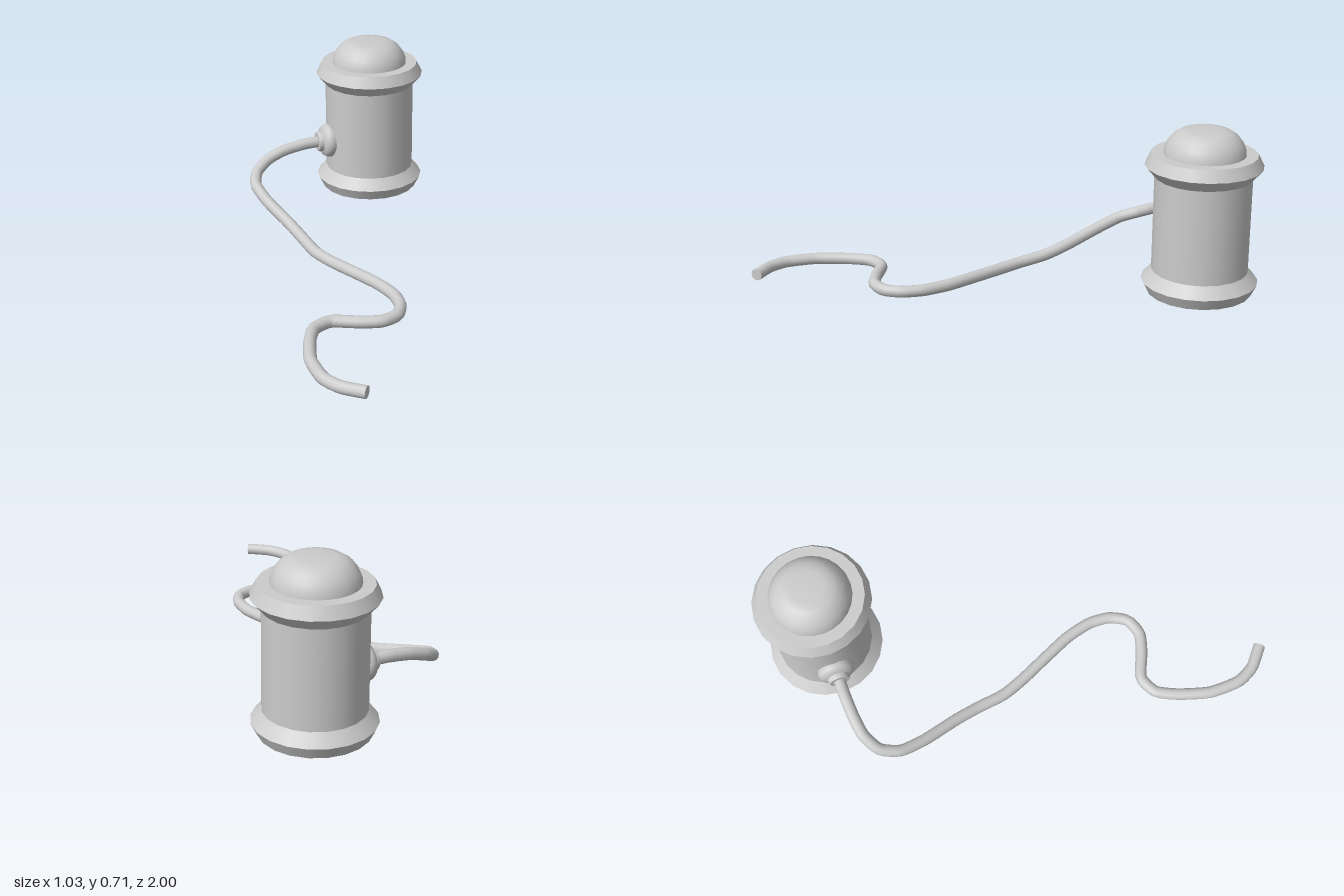
import * as THREE from 'three';

const grey = new THREE.MeshStandardMaterial({ color: 0xcccccc, side: THREE.DoubleSide });

// Smooth lathe band; separate bands keep hard edges between them
function band(name, points, sides) {
  const profile = points.map(([r, y]) => new THREE.Vector2(r, y));
  const mesh = new THREE.Mesh(new THREE.LatheGeometry(profile, sides), grey);
  mesh.name = name;
  return mesh;
}

export function createModel() {
  const model = new THREE.Group();
  model.name = 'hydrantWithHose';

  // Barrel with flared rims, flat ledge and domed cap
  const barrel = new THREE.Group();
  barrel.name = 'barrel';
  barrel.position.set(0.272, 0, -0.763);
  const outline = [
    [0, 0.027], [0.215, 0.027], [0.239, 0.075], [0.198, 0.122],
    [0.198, 0.52], [0.239, 0.567], [0.215, 0.615], [0.16, 0.615],
  ];
  const names = ['base', 'lowerRim', 'lowerRimSlope', 'body', 'upperRimSlope', 'upperRim', 'ledge'];
  names.forEach((name, i) => barrel.add(band(name, [outline[i], outline[i + 1]], 20)));
  barrel.add(band('domeCap', [
    [0.167, 0.61], [0.164, 0.635], [0.152, 0.662], [0.132, 0.688],
    [0.105, 0.706], [0.07, 0.714], [0, 0.714],
  ], 24));
  model.add(barrel);

  // Outlet on the side of the barrel, its axis pointing to -x
  const outlet = new THREE.Group();
  outlet.name = 'outlet';
  outlet.position.set(0.1, 0.258, -0.763);
  outlet.rotation.z = Math.PI / 2;
  outlet.add(band('outletFlange', [
    [0.065, -0.01], [0.073, 0.01], [0.077, 0.025], [0.075, 0.04], [0.066, 0.054], [0.045, 0.06],
  ], 20));
  outlet.add(band('collar', [[0.046, 0.05], [0.046, 0.072], [0.042, 0.08]], 20));
  outlet.add(band('collarFace', [[0.042, 0.08], [0, 0.08]], 20));
  model.add(outlet);

  // Hose dropping from the outlet and winding along the ground
  const path = [
    [0.06, 0.258, -0.763], [-0.04, 0.255, -0.763], [-0.14, 0.24, -0.757],
    [-0.22, 0.213, -0.743], [-0.285, 0.178, -0.7], [-0.313, 0.15, -0.62],
    [-0.293, 0.115, -0.51], [-0.245, 0.073, -0.36], [-0.218, 0.046, -0.25],
    [-0.198, 0.031, -0.13], [-0.16, 0.026, -0.03], [-0.1, 0.026, 0.1],
    [-0.047, 0.026, 0.22], [-0.02, 0.026, 0.33], [-0.027, 0.026, 0.42],
    [-0.067, 0.026, 0.49], [-0.14, 0.026, 0.514], [-0.22, 0.026, 0.492],
    [-0.327, 0.026, 0.447], [-0.405, 0.026, 0.482], [-0.45, 0.026, 0.57],
    [-0.488, 0.026, 0.7], [-0.485, 0.026, 0.83], [-0.446, 0.026, 0.91],
    [-0.368, 0.026, 0.977],
  ].map((p) => new THREE.Vector3(...p));
  const curve = new THREE.CatmullRomCurve3(path, false, 'catmullrom', 0.3);
  const hose = new THREE.Mesh(new THREE.TubeGeometry(curve, 110, 0.025, 12), grey);
  hose.name = 'hose';
  model.add(hose);

  // Flat end of the hose
  const end = new THREE.Mesh(new THREE.CircleGeometry(0.025, 12), grey);
  end.name = 'hoseEnd';
  end.position.copy(curve.getPoint(1));
  end.quaternion.setFromUnitVectors(new THREE.Vector3(0, 0, 1), curve.getTangent(1));
  model.add(end);

  return model;
}
